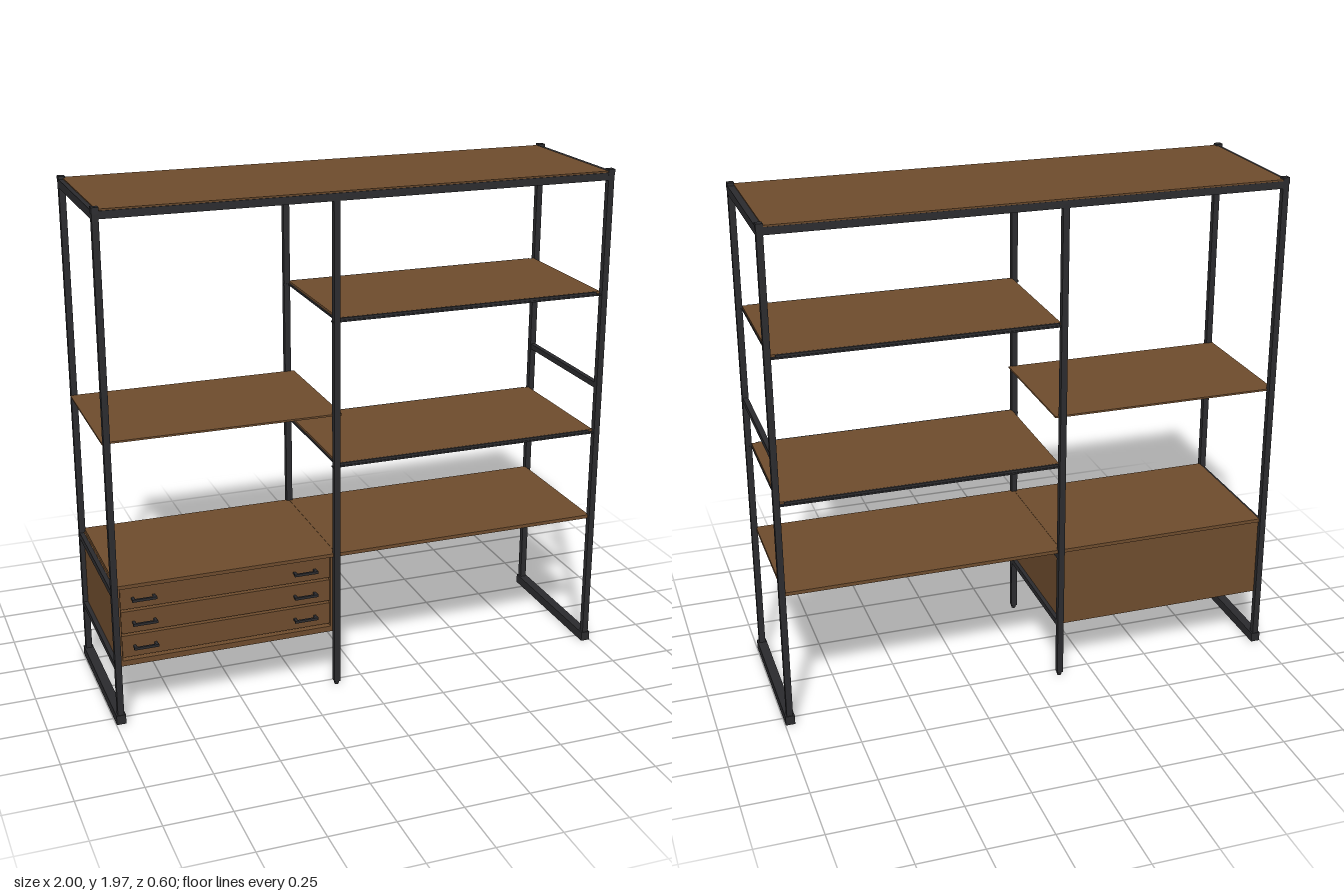
import * as THREE from 'three';

export function createModel() {
  const root = new THREE.Group();
  root.name = 'shelvingUnit';
  const wood = new THREE.MeshStandardMaterial({ color: 0x6e4c2d });
  wood.name = 'walnut';
  const metal = new THREE.MeshStandardMaterial({ color: 0x2b2b2e });
  metal.name = 'blackMetal';

  // Box given by its extents along each axis
  function box(name, mat, [x0, x1], [y0, y1], [z0, z1], parent = root) {
    const mesh = new THREE.Mesh(new THREE.BoxGeometry(x1 - x0, y1 - y0, z1 - z0), mat);
    mesh.position.set((x0 + x1) / 2, (y0 + y1) / 2, (z0 + z1) / 2);
    mesh.name = name;
    parent.add(mesh);
    return mesh;
  }
  const around = (c, half) => [c - half, c + half];

  const END = 0.98, MID = -0.115, Z = 0.287, R = 0.012;
  const depth = [-Z, Z];

  // End frames: posts with caps, base bars and top cross rails
  for (const x of [-END, END]) {
    for (const z of [-Z, Z]) {
      box('endPost', metal, around(x, R), [0.02, 1.96], around(z, R));
      box('postCap', metal, around(x, 0.013), [1.945, 1.968], around(z, 0.014));
    }
    box('baseBar', metal, around(x, 0.018), [0, 0.037], [-0.302, 0.302]);
    box('topCrossRail', metal, around(x, R), [1.925, 1.957], depth);
  }
  box('sideBrace', metal, around(END, 0.01), [1.1, 1.122], depth);

  // Middle posts with small round feet
  for (const z of [-Z, Z]) {
    box('middlePost', metal, around(MID, R), [0.015, 1.94], around(z, R));
    const foot = new THREE.Mesh(new THREE.CylinderGeometry(0.012, 0.008, 0.015, 12), metal);
    foot.position.set(MID, 0.0075, z);
    foot.name = 'middleFoot';
    root.add(foot);
    box('topLongRail', metal, [-END, END], [1.927, 1.955], around(z, R));
  }
  box('topMiddleRail', metal, around(MID, R), [1.927, 1.953], depth);

  // Top panel, plain left shelf and desk
  box('topPanel', wood, [-0.975, 0.968], [1.953, 1.961], [-0.298, 0.295]);
  box('leftShelf', wood, [-0.995, -0.09], [1.115, 1.122], [-0.278, 0.278]);
  box('desk', wood, [-0.115, 0.972], [0.547, 0.561], [-0.287, 0.287]);

  // Right shelves: wood panel on a slatted metal frame
  for (const y of [0.92, 1.485]) {
    const shelf = new THREE.Group();
    shelf.name = 'slattedShelf';
    shelf.position.y = y;
    root.add(shelf);
    box('shelfPanel', wood, [-0.105, 0.968], [0, 0.0085], [-0.28, 0.28], shelf);
    for (const z of [-0.282, 0.282]) {
      box('shelfEdge', metal, [-0.1, 0.95], [-0.001, 0.008], around(z, 0.005), shelf);
      box('shelfRail', metal, [-0.13, 0.99], [-0.007, -0.001], around(z, 0.008), shelf);
    }
    for (let i = 0; i <= 9; i++) {
      const x = -0.1 + (i * 1.06) / 9;
      box('slat', metal, around(x, 0.01), [-0.007, -0.0005], [-0.28, 0.28], shelf);
    }
  }

  // Drawer cabinet
  const cabinet = new THREE.Group();
  cabinet.name = 'drawerCabinet';
  root.add(cabinet);
  box('cabinetTop', wood, [-0.97, -0.116], [0.547, 0.561], [-0.287, 0.287], cabinet);
  box('cabinetBottom', wood, [-0.968, -0.126], [0.228, 0.25], [-0.277, 0.277], cabinet);
  box('cabinetBack', wood, [-0.968, -0.126], [0.228, 0.548], [-0.28, -0.268], cabinet);
  for (const x of [-0.966, -0.128]) {
    box('cabinetSide', wood, around(x, 0.008), [0.23, 0.548], [-0.277, 0.277], cabinet);
  }
  for (const x of [-END, MID]) {
    box('upperCrossRail', metal, around(x, 0.011), [0.52, 0.546], depth, cabinet);
    box('lowerCrossRail', metal, around(x, 0.011), [0.222, 0.245], depth, cabinet);
  }
  box('underRail', metal, [-0.97, -0.12], [0.218, 0.228], [-0.11, -0.03], cabinet);

  // Drawers with a pair of bar handles each
  for (const y of [0.305, 0.403, 0.501]) {
    box('drawerFront', wood, [-0.956, -0.138], around(y, 0.044), [-0.25, 0.272], cabinet);
    for (const x of [-0.87, -0.24]) {
      box('handleBar', metal, around(x, 0.047), around(y - 0.002, 0.005), [0.292, 0.301], cabinet);
      for (const s of [-1, 1]) {
        box('handleStem', metal, around(x + s * 0.04, 0.005), around(y - 0.002, 0.004), [0.27, 0.294], cabinet);
      }
    }
  }
  return root;
}
